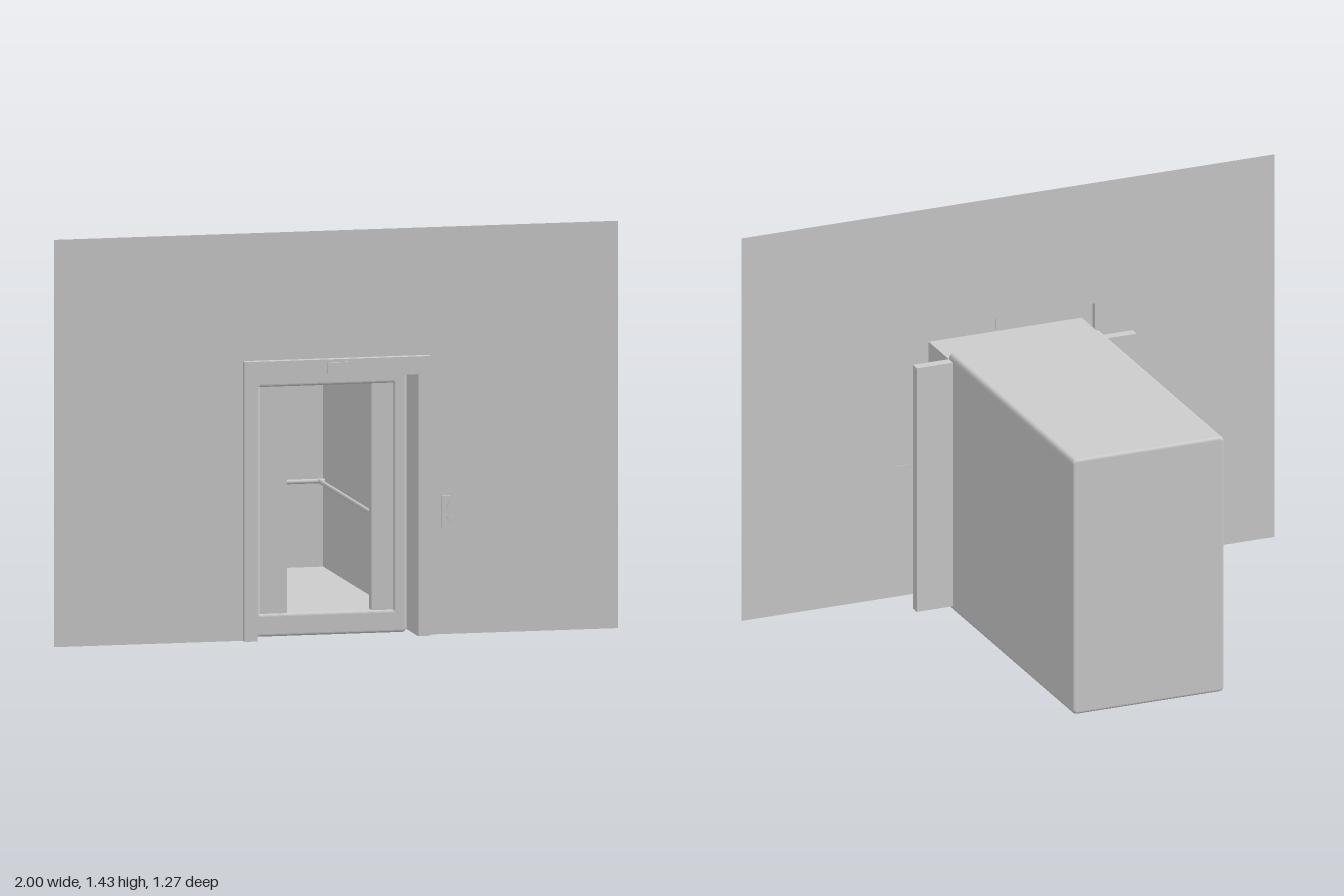
import * as THREE from 'three';

const grey = new THREE.MeshStandardMaterial({ color: 0xcccccc, side: THREE.DoubleSide });
const BASE = 0.01;

function add(parent, name, geometry, x = 0, y = 0, z = 0) {
  const mesh = new THREE.Mesh(geometry, grey);
  mesh.name = name;
  mesh.position.set(x, y, z);
  parent.add(mesh);
  return mesh;
}

// Box given by its min and max corners
function block(parent, name, [x0, y0, z0], [x1, y1, z1]) {
  return add(parent, name, new THREE.BoxGeometry(x1 - x0, y1 - y0, z1 - z0),
    (x0 + x1) / 2, (y0 + y1) / 2, (z0 + z1) / 2);
}

// Upside-down U: outer half width and top, inner half width and top
function portal(ow, oh, iw, ih) {
  return new THREE.Shape([[-ow, BASE], [-iw, BASE], [-iw, ih], [iw, ih], [iw, BASE],
    [ow, BASE], [ow, oh], [-ow, oh]].map(([x, y]) => new THREE.Vector2(x, y)));
}

function extrude(shape, depth) {
  return new THREE.ExtrudeGeometry(shape, { depth, bevelEnabled: false });
}

function roundedRect(path, w, y0, y1, r) {
  path.moveTo(-w + r, y0);
  path.lineTo(w - r, y0).absarc(w - r, y0 + r, r, -Math.PI / 2, 0);
  path.lineTo(w, y1 - r).absarc(w - r, y1 - r, r, 0, Math.PI / 2);
  path.lineTo(-w + r, y1).absarc(-w + r, y1 - r, r, Math.PI / 2, Math.PI);
  path.lineTo(-w, y0 + r).absarc(-w + r, y0 + r, r, Math.PI, Math.PI * 1.5);
  return path;
}

function triangle(size, up) {
  const s = up ? size : -size;
  return new THREE.Shape([new THREE.Vector2(-s, -s * 0.7), new THREE.Vector2(s, -s * 0.7),
    new THREE.Vector2(0, s)]);
}

export function createModel() {
  const model = new THREE.Group();
  model.name = 'elevator';

  // Wall sheet with the doorway cut out
  add(model, 'wall', new THREE.ShapeGeometry(portal(1, 1.43, 0.33, 0.985)), 0, 0, 0.6);

  // Hollow door surround and the lining running back to the cab
  const surround = new THREE.Group();
  surround.name = 'doorSurround';
  model.add(surround);
  add(surround, 'surroundFace', extrude(portal(0.33, 0.985, 0.285, 0.925), 0.003), 0, 0, 0.625);
  add(surround, 'surroundRim', extrude(portal(0.33, 0.985, 0.327, 0.982), 0.026), 0, 0, 0.6);
  add(surround, 'doorwayLining', extrude(portal(0.287, 0.926, 0.284, 0.923), 0.172), 0, 0, 0.455);
  for (const s of [-1, 1]) {
    add(surround, 'surroundFoot', new THREE.BoxGeometry(0.044, 0.003, 0.026), s * 0.307, BASE + 0.0015, 0.613);
  }

  // Cab: thick rounded shell, open at the front
  const cab = new THREE.Group();
  cab.name = 'cab';
  model.add(cab);
  const b = 0.01;
  const section = roundedRect(new THREE.Shape(), 0.285 - b, b, 0.945 - b, 0.008);
  section.holes.push(roundedRect(new THREE.Path(), 0.235 + b, 0.06 + b, 0.89 - b, 0.01));
  add(cab, 'cabShell', new THREE.ExtrudeGeometry(section, {
    depth: 1.095 - 2 * b, bevelThickness: b, bevelSize: b, bevelSegments: 4, curveSegments: 6,
  }), 0, 0, -0.635 + b);
  block(cab, 'cabBackWall', [-0.262, 0.05, -0.635], [0.262, 0.9, -0.595]);

  // Handrails on the back and both side walls
  const rail = (length) => new THREE.CylinderGeometry(0.008, 0.008, length, 12);
  add(cab, 'backHandrail', rail(0.47), 0, 0.382, -0.575).rotation.z = Math.PI / 2;
  for (const s of [-1, 1]) {
    add(cab, 'sideHandrail', rail(0.9), s * 0.217, 0.382, -0.125).rotation.x = Math.PI / 2;
  }

  // Sliding doors, standing partly open
  block(model, 'rightDoor', [-0.405, 0.02, 0.417], [-0.14, 0.924, 0.453]);
  block(model, 'leftDoor', [0.16, 0.02, 0.417], [0.42, 0.924, 0.453]);

  // Floor indicator above the doorway
  block(model, 'floorIndicator', [-0.038, 0.935, 0.62], [0.036, 0.975, 0.636]);
  add(model, 'indicatorArrow', extrude(triangle(0.008, false), 0.003), 0.008, 0.955, 0.635);

  // Call panel with an up and a down button
  block(model, 'callPanel', [0.372, 0.38, 0.598], [0.428, 0.494, 0.607]);
  add(model, 'upButton', extrude(triangle(0.013, true), 0.008), 0.4, 0.46, 0.606);
  add(model, 'downButton', extrude(triangle(0.013, false), 0.008), 0.4, 0.415, 0.606);

  return model;
}
